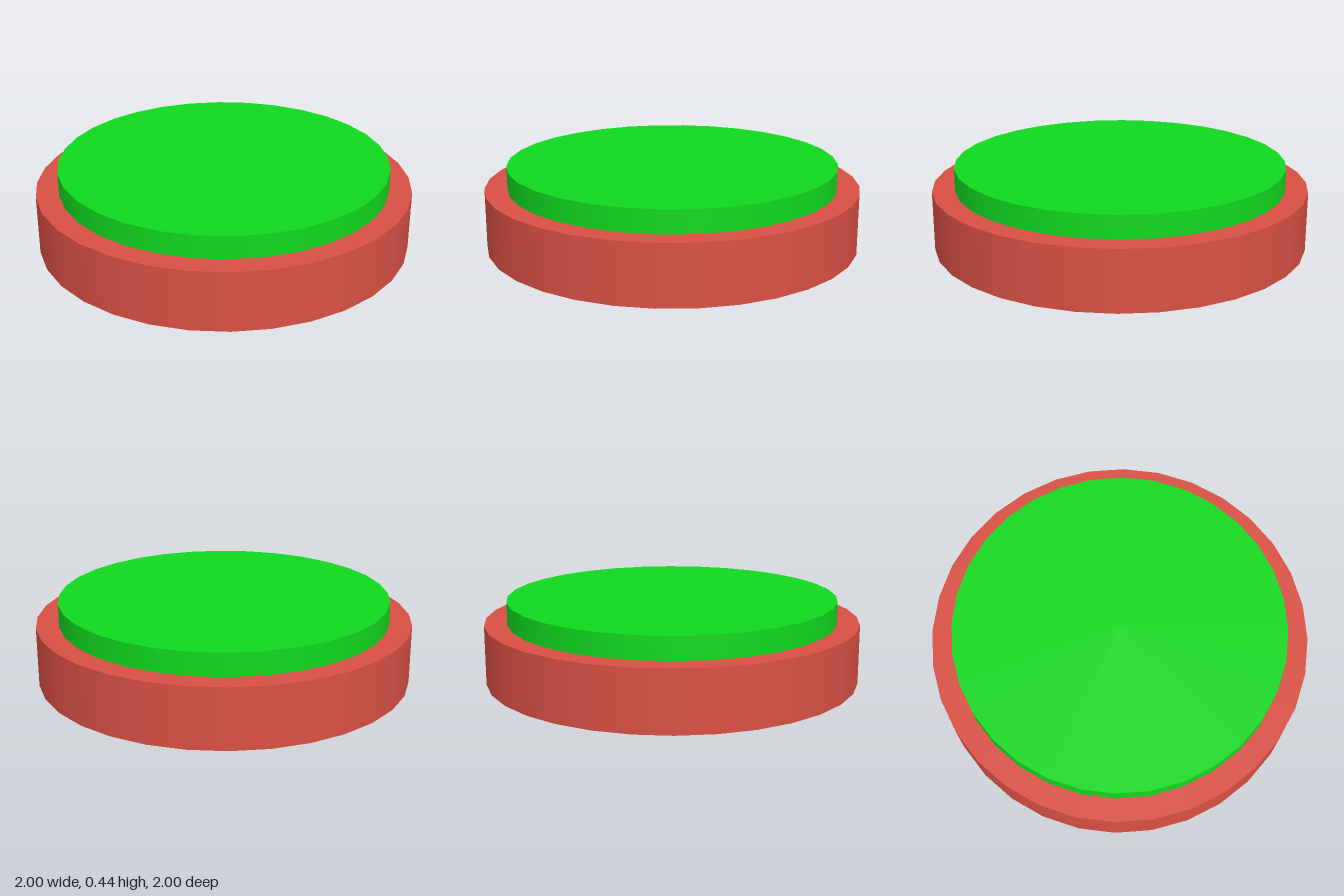
import * as THREE from 'three';

const SIDES = 32;

// Upright disc standing on height y
function disc(name, radius, y, height, color) {
  const geometry = new THREE.CylinderGeometry(radius, radius, height, SIDES);
  geometry.translate(0, y + height / 2, 0);
  const mesh = new THREE.Mesh(geometry, new THREE.MeshStandardMaterial({ color }));
  mesh.name = name;
  return mesh;
}

export function createModel() {
  const model = new THREE.Group();
  model.name = 'pushButton';

  // Wide red housing with the narrower green cap on top
  model.add(disc('base', 1, 0, 0.317, 0xd95044));
  model.add(disc('buttonCap', 0.88, 0.317, 0.12, 0x10d91e));

  return model;
}
